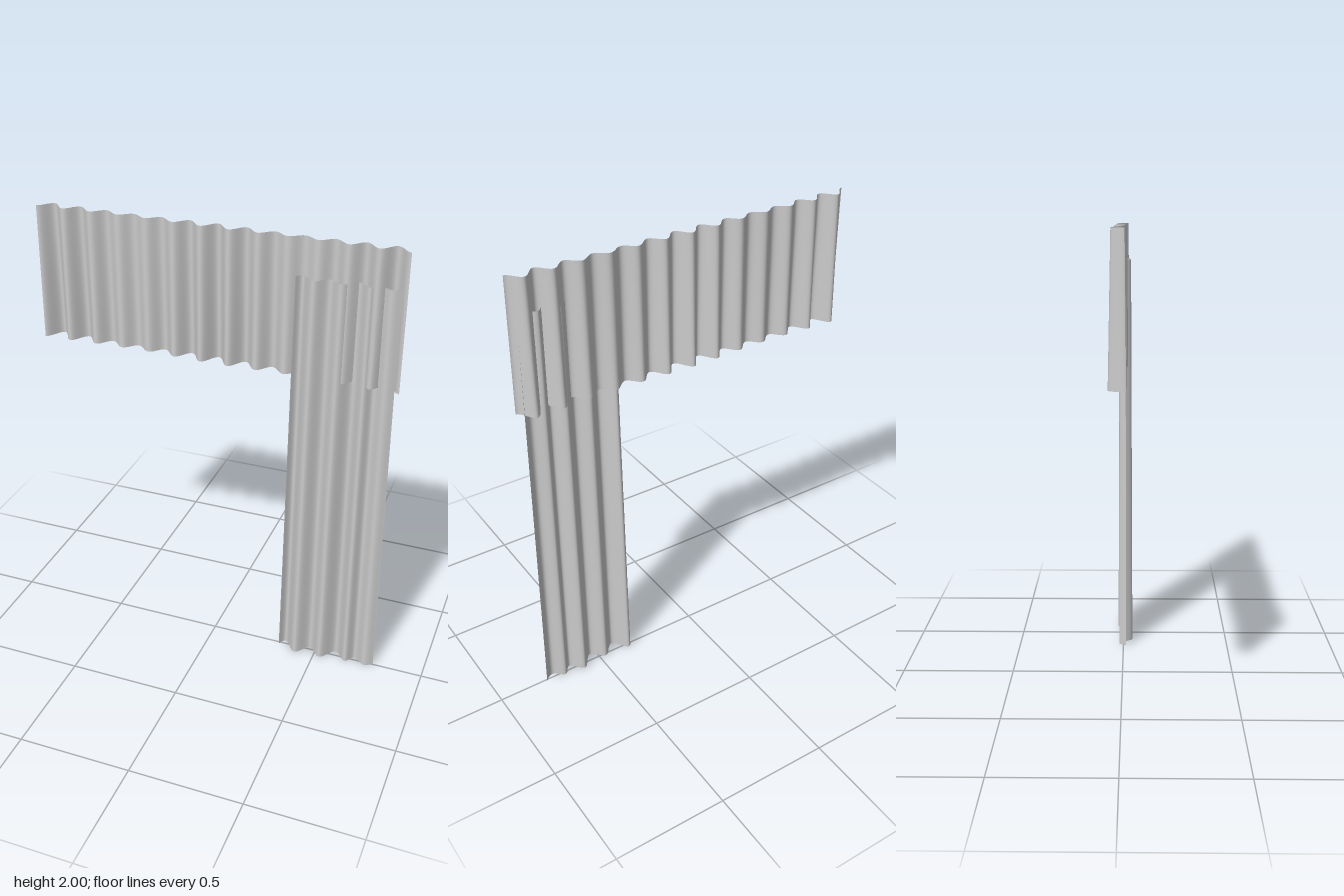
import * as THREE from 'three';

// Open cloth sheet: point(u, v) gives [x, y, z], u across, v from bottom to top
function cloth(name, nu, nv, point) {
  const geo = new THREE.PlaneGeometry(1, 1, nu, nv);
  const pos = geo.attributes.position;
  for (let i = 0; i < pos.count; i++) {
    pos.setXYZ(i, ...point(pos.getX(i) + 0.5, pos.getY(i) + 0.5));
  }
  geo.computeVertexNormals();
  const mat = new THREE.MeshStandardMaterial({ color: 0xcccccc, side: THREE.DoubleSide });
  const mesh = new THREE.Mesh(geo, mat);
  mesh.name = name;
  return mesh;
}

export function createModel() {
  const group = new THREE.Group();
  group.name = 'curtains';
  const { lerp } = THREE.MathUtils;

  // Short valance: even pleats, deeper at the middle and ends, flaring downward
  group.add(cloth('valance', 260, 6, (u, v) => {
    const x = lerp(-0.79, 0.79, u);
    const depth = 0.028 + 0.007 * Math.cos((2 * Math.PI * x) / 0.73);
    const z = -0.01 - depth * Math.cos((2 * Math.PI * x) / 0.1215);
    return [x, lerp(1.41, 2, v), z * lerp(1, 0.75, v)];
  }));

  // Long side panel: looser folds that tighten toward the top
  const folds = new THREE.SplineCurve([
    [0.325, 0.012], [0.353, -0.02], [0.41, 0.043], [0.47, -0.012], [0.53, 0.036],
    [0.59, -0.028], [0.645, 0.022], [0.685, -0.016], [0.735, 0.018], [0.775, -0.005],
  ].map(([x, z]) => new THREE.Vector2(x, z)));
  group.add(cloth('sidePanel', 126, 10, (u, v) => {
    const p = folds.getPoint(u);
    const x = 0.555 + (p.x - 0.555) * lerp(1, 0.94, v);
    return [x, 1.84 * v, p.y * lerp(1, 0.78, v)];
  }));

  return group;
}
